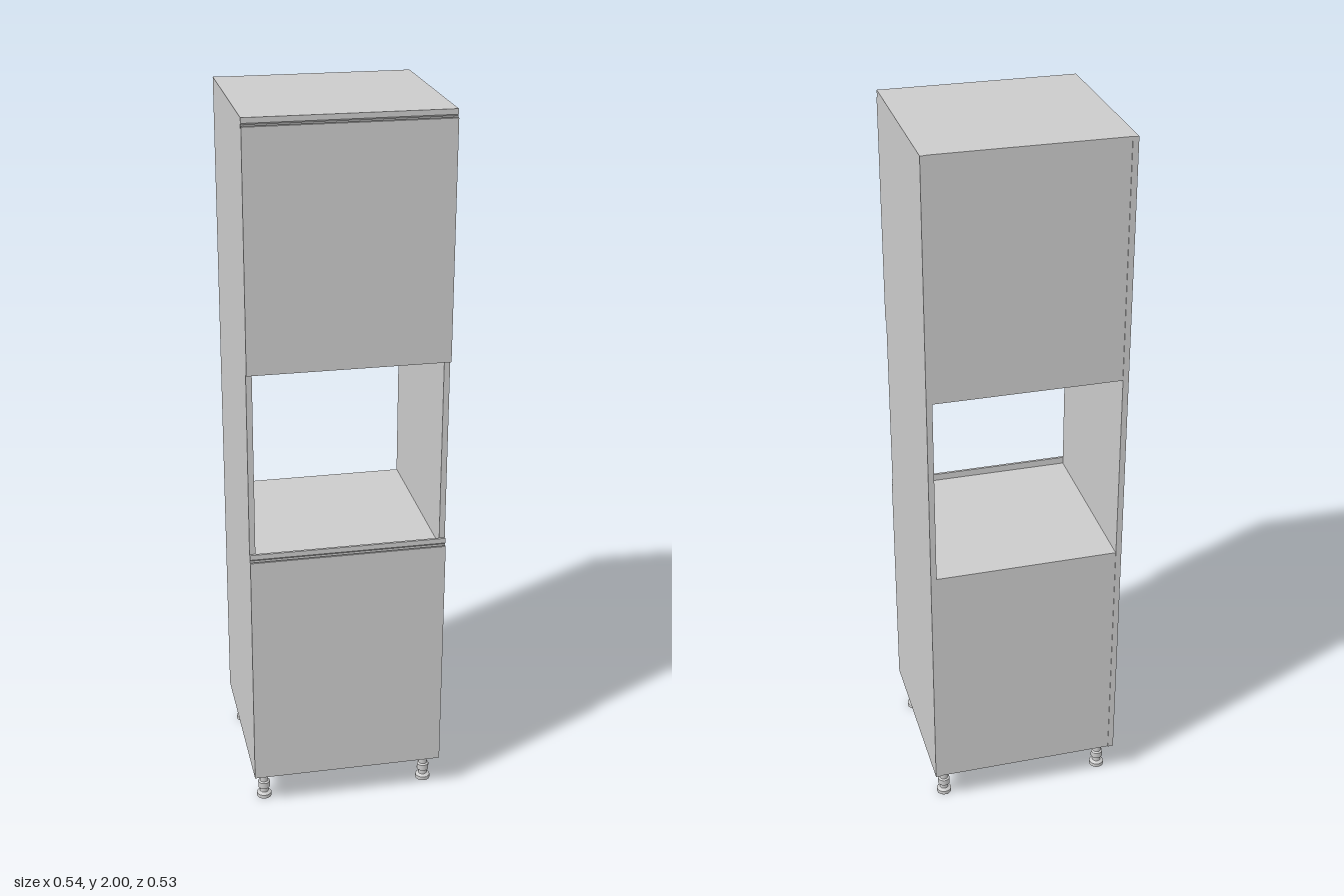
import * as THREE from 'three';

const HALF_W = 0.272, T = 0.016;   // half width, panel thickness
const BACK = -0.263, FACE = 0.25;  // carcass depth limits
const BASE = 0.1, TOP = 2;         // carcass height limits
const SHELF = 0.795, UPPER = 1.335; // opening floor and ceiling

export function createModel() {
  const group = new THREE.Group();
  const material = new THREE.MeshStandardMaterial({ color: 0xcccccc });
  const add = (name, geometry) => {
    const mesh = new THREE.Mesh(geometry, material);
    mesh.name = name;
    group.add(mesh);
    return mesh;
  };

  // Box given by its limits
  const panel = (name, x0, x1, y0, y1, z0, z1) => {
    const mesh = add(name, new THREE.BoxGeometry(x1 - x0, y1 - y0, z1 - z0));
    mesh.position.set((x0 + x1) / 2, (y0 + y1) / 2, (z0 + z1) / 2);
  };
  const inner = HALF_W - T;

  // Carcass sides
  panel('leftSide', inner, HALF_W, BASE, TOP, BACK, FACE);
  panel('rightSide', -HALF_W, -inner, BASE, TOP, BACK, FACE);

  // Horizontal boards, each given by its underside
  const boards = { bottomBoard: BASE, ovenShelf: SHELF - T, upperShelf: UPPER, topBoard: TOP - T };
  for (const [name, y] of Object.entries(boards)) {
    panel(name, -inner, inner, y, y + T, BACK + 0.002, FACE);
  }

  // Back panels, leaving the middle compartment open
  panel('lowerBack', -inner, inner, BASE, SHELF - T, BACK + 0.002, BACK + 0.008);
  panel('upperBack', -inner, inner, UPPER + T, TOP - T, BACK + 0.002, BACK + 0.008);

  // Doors: side profile with a finger groove and a set-back lip along the top
  const door = (name, y0, y1) => {
    const profile = new THREE.Shape([
      [FACE, y0], [0.263, y0], [0.263, y1 - 0.022], [0.261, y1 - 0.02],
      [0.259, y1 - 0.021], [0.254, y1 - 0.027], [0.254, y1 - 0.018],
      [0.257, y1 - 0.014], [0.257, y1], [FACE, y1],
    ].map(([z, y]) => new THREE.Vector2(-z, y)));
    const geometry = new THREE.ExtrudeGeometry(profile, { depth: 2 * HALF_W, bevelEnabled: false });
    geometry.translate(0, 0, -HALF_W).rotateY(Math.PI / 2);
    add(name, geometry);
  };
  door('lowerDoor', BASE, 0.815);
  door('upperDoor', UPPER, TOP);

  // Adjustable feet: mounting cup, threaded stem, collar and pad
  const legProfile = [
    [0, 0], [0.021, 0], [0.021, 0.011], [0.012, 0.016], [0.012, 0.028],
    [0.017, 0.031], [0.017, 0.049], [0.012, 0.052], [0.012, 0.068],
    [0.017, 0.072], [0.017, 0.077], [0.021, 0.077], [0.021, BASE], [0, BASE],
  ].map(([r, y]) => new THREE.Vector2(r, y));
  // Repeated points keep the turned edges crisp
  const crisp = legProfile.flatMap((p, i) => {
    const mix = (q) => p.clone().lerp(q, 0.02);
    return i === 0 || i === legProfile.length - 1 ? [p]
      : [mix(legProfile[i - 1]), p, mix(legProfile[i + 1])];
  });
  const legGeometry = new THREE.LatheGeometry(crisp, 24);
  for (const [row, z] of [['front', 0.205], ['back', -0.212]]) {
    for (const [side, x] of [['Left', 0.238], ['Right', -0.238]]) {
      add(`${row}${side}Leg`, legGeometry).position.set(x, 0, z);
    }
  }

  return group;
}
